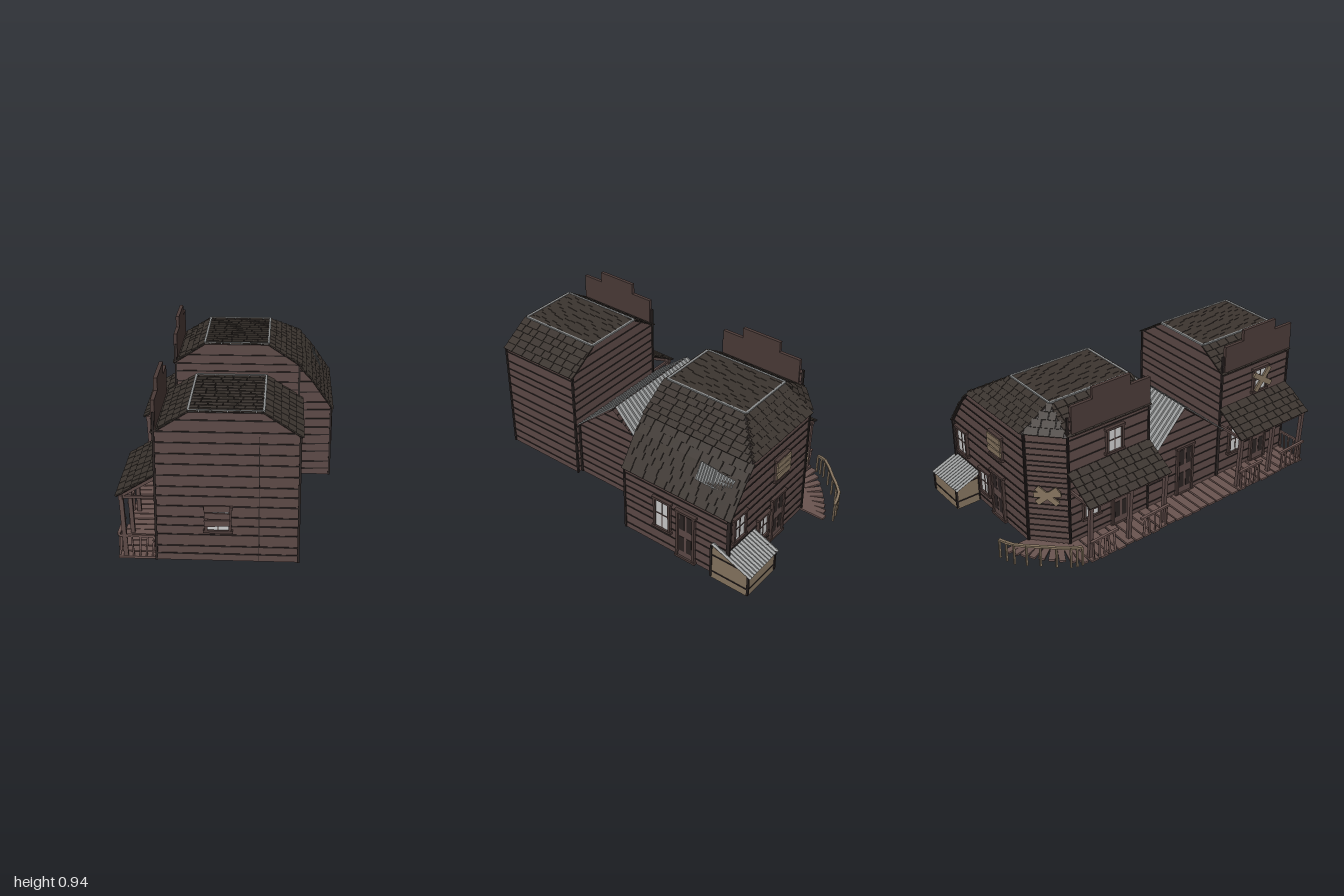
import * as THREE from 'three';
import { mergeGeometries } from 'three/addons/utils/BufferGeometryUtils.js';

const V = (x, y, z) => new THREE.Vector3(x, y, z);
const mat = (color) => new THREE.MeshStandardMaterial({ color, side: THREE.DoubleSide, flatShading: true });

let seed = 7;
const rnd = () => ((seed = (seed * 16807) % 2147483647) / 2147483647);

export function createModel() {
  const root = new THREE.Group();
  const wood = mat(0x5c4946), dark = mat(0x2a2322), roofMat = mat(0x3b342f), trimMat = mat(0x4a3a37);
  const metal = mat(0x8a8c8c), glass = mat(0xc4c6c2), pale = mat(0x85745f), deckMat = mat(0x6a5450);

  const add = (name, geo, m, parent = root) => {
    const mesh = new THREE.Mesh(geo, m);
    mesh.name = name;
    parent.add(mesh);
    return mesh;
  };
  const box = (w, h, d, x, y, z, roll = 0) => new THREE.BoxGeometry(w, h, d).rotateZ(roll).translate(x, y, z);

  // Timber running from p to q
  const beam = (p, q, w, h) => {
    const m = new THREE.Matrix4().lookAt(q, p, V(0, 1, 0));
    if (Math.abs(q.x - p.x) + Math.abs(q.z - p.z) < 1e-4) m.makeRotationX(Math.PI / 2);
    return new THREE.BoxGeometry(w, h, p.distanceTo(q)).applyMatrix4(m)
      .translate((p.x + q.x) / 2, (p.y + q.y) / 2, (p.z + q.z) / 2);
  };
  // Point on a four-cornered sheet: a-b is the lower edge, d-c the upper
  const at = ([a, b, c, d], s, t) => a.clone().lerp(b, s).lerp(d.clone().lerp(c, s), t);
  const normalOf = ([a, b, c, d]) => c.clone().sub(a).cross(d.clone().sub(b)).normalize();

  // Flat or corrugated sheet
  const sheet = (q, ribs = 1, depth = 0) => {
    const g = new THREE.PlaneGeometry(1, 1, ribs * 2, 1), p = g.attributes.position, n = normalOf(q);
    for (let i = 0; i < p.count; i++) {
      const v = at(q, p.getX(i) + 0.5, p.getY(i) + 0.5).addScaledVector(n, (i % (ribs * 2 + 1)) % 2 * depth);
      p.setXYZ(i, v.x, v.y, v.z);
    }
    g.computeVertexNormals();
    return g;
  };

  // Shingled roof slope: backing sheet and staggered, uneven shingles
  const shingles = (name, ...q) => {
    const g = new THREE.Group();
    g.name = name;
    root.add(g);
    add('roofSheet', sheet(q), dark, g);
    const n = normalOf(q), parts = [];
    const up = at(q, 0.5, 0).distanceTo(at(q, 0.5, 1)), rows = Math.max(2, Math.round(up / 0.042));
    for (let r = 0; r < rows; r++) {
      const t = (r + 0.5) / rows, a = at(q, 0, t), b = at(q, 1, t), L = a.distanceTo(b);
      const dir = b.clone().sub(a).normalize(), rise = n.clone().cross(dir).normalize();
      const m = new THREE.Matrix4().makeBasis(dir, rise, n);
      let s = -rnd() * 0.04;
      while (s < L) {
        const w = 0.045 + rnd() * 0.045, s0 = Math.max(0, s), s1 = Math.min(L, s + w - 0.004);
        if (s1 - s0 > 0.006) {
          const c = a.clone().addScaledVector(dir, (s0 + s1) / 2).addScaledVector(n, 0.006);
          parts.push(new THREE.BoxGeometry(s1 - s0, up / rows + 0.004, 0.006).rotateX(-0.09)
            .rotateZ((rnd() - 0.5) * 0.05).applyMatrix4(m).translate(c.x, c.y, c.z));
        }
        s += w;
      }
    }
    add('shingleRows', mergeGeometries(parts), roofMat, g);
  };

  // Boarded wall from plan point A to B (left to right seen from outside); outline is convex, in metres along/up
  const wall = (name, A, B, outline, { m = wood, step = 0.055, seam = 0, tilt = 0 } = {}) => {
    const g = new THREE.Group();
    g.name = name;
    g.position.set(A[0], 0, A[1]);
    g.rotation.y = Math.atan2(A[1] - B[1], B[0] - A[0]);
    root.add(g);
    add('wallFace', new THREE.ShapeGeometry(new THREE.Shape(outline.map((p) => new THREE.Vector2(...p)))), m, g);
    const lines = [], top = Math.max(...outline.map((p) => p[1]));
    for (let y = 0.05; y < top - 0.02; y += step * (0.8 + rnd() * 0.4)) {
      const xs = [];
      outline.forEach(([x0, y0], i) => {
        const [x1, y1] = outline[(i + 1) % outline.length];
        if ((y0 <= y) !== (y1 <= y)) xs.push(x0 + (x1 - x0) * (y - y0) / (y1 - y0));
      });
      if (xs.length < 2) continue;
      const a = Math.min(...xs), b = Math.max(...xs);
      lines.push(box(b - a, 0.007, 0.008, (a + b) / 2, y, 0, tilt));
    }
    if (seam) lines.push(box(0.004, 0.68, 0.007, seam, 0.355, 0));
    for (const [x, y] of outline) if (y < 0.1) {
      const h = Math.max(...outline.filter((p) => Math.abs(p[0] - x) < 0.01).map((p) => p[1]));
      lines.push(box(0.012, h - 0.012, 0.012, x, (h + 0.012) / 2, 0));
    }
    if (lines.length) add('boardGaps', mergeGeometries(lines), dark, g);
    return g;
  };
  const rect = (w, h) => [[0, 0.012], [w, 0.012], [w, h], [0, h]];

  const frame = (w, h, x, y, t = 0.014) => mergeGeometries([
    box(t, h, 0.022, x - w / 2, y, 0.008), box(t, h, 0.022, x + w / 2, y, 0.008),
    box(w + 0.03, t, 0.026, x, y + h / 2, 0.008), box(w + 0.03, t, 0.026, x, y - h / 2, 0.008)]);
  const windowOn = (g, x, y, w = 0.1, h = 0.18) => {
    add('windowGlass', box(w, h, 0.01, x, y, 0.004), glass, g);
    add('windowFrame', frame(w, h, x, y), trimMat, g);
    add('windowBars', mergeGeometries([box(0.006, h, 0.012, x, y, 0.006), box(w, 0.006, 0.012, x, y, 0.006)]), trimMat, g);
  };
  const doorOn = (g, x, w = 0.11, h = 0.32) => {
    const y = 0.02 + h / 2;
    add('door', box(w, h, 0.01, x, y, 0.005), wood, g);
    add('doorFrame', frame(w, h, x, y), trimMat, g);
    add('doorPanels', mergeGeometries([-1, 1].flatMap((s) => [0.28, -0.2].map((f) =>
      box(w * 0.3, h * 0.32, 0.014, x + s * w * 0.22, y + f * h, 0.005)))), dark, g);
  };
  const boards = (g, x, y, w, rolls, m = pale) => add('nailedBoards', mergeGeometries(rolls.map(([dy, roll]) =>
    box(w, 0.032, 0.01, x, y + dy, 0.022, roll))), m, g);

  // Front house walls
  const f = wall('frontHouseFrontWall', [-0.37, 0.98], [0.35, 0.98],
    [[0, 0.012], [0.72, 0.012], [0.72, 0.70], [0.54, 0.82], [0.17, 0.82], [0, 0.71]], { seam: 0.52 });
  windowOn(f, 0.315, 0.25, 0.12, 0.13);
  boards(f, 0.31, 0.26, 0.13, [[0.055, 0.02], [0.015, -0.02], [-0.025, 0.04]], wood);
  wall('frontHouseRightWall', [0.35, 0.98], [0.35, 0.45], rect(0.53, 0.70));
  wall('frontHouseRearWall', [0.35, 0.45], [-0.37, 0.45],
    [[0, 0.012], [0.72, 0.012], [0.72, 0.71], [0.55, 0.82], [0.18, 0.82], [0, 0.70]]);
  const fw = wall('frontHousePorchWall', [-0.37, 0.45], [-0.37, 0.98], rect(0.53, 0.82));
  windowOn(fw, 0.3, 0.585, 0.1, 0.15);
  boards(fw, 0.31, 0.585, 0.17, [[0, 0.9], [0, -0.6]]);
  windowOn(fw, 0.13, 0.24);
  doorOn(fw, 0.32);

  // Middle house walls and corrugated gable roof
  const gable = [[0, 0.012], [0.53, 0.012], [0.53, 0.36], [0.265, 0.58], [0, 0.36]];
  wall('middleHouseRightWall', [0.32, 0.44], [0.32, -0.09], gable);
  doorOn(wall('middleHousePorchWall', [-0.37, -0.09], [-0.37, 0.44], gable), 0.27);
  add('middleRoofFront', sheet([V(-0.41, 0.355, 0.45), V(0.335, 0.355, 0.45), V(0.3, 0.59, 0.175), V(-0.37, 0.59, 0.175)], 22, 0.006), metal);
  add('middleRoofRear', sheet([V(0.335, 0.355, -0.1), V(-0.41, 0.355, -0.1), V(-0.37, 0.59, 0.175), V(0.3, 0.59, 0.175)], 22, 0.006), metal);

  // Rear house walls, with a cut corner and a lean-to
  wall('rearHouseFrontWall', [-0.37, -0.09], [0.35, -0.09],
    [[0, 0.012], [0.72, 0.012], [0.72, 0.70], [0.54, 0.82], [0.17, 0.82], [0, 0.71]]);
  wall('leanToFrontWall', [0.35, -0.09], [0.54, -0.09],
    [[0, 0.012], [0.19, 0.012], [0.19, 0.44], [0.07, 0.615], [0, 0.69]], { tilt: 0.03 });
  const e = wall('leanToRightWall', [0.54, -0.09], [0.54, -0.8], rect(0.71, 0.44));
  windowOn(e, 0.27, 0.25, 0.1, 0.2);
  doorOn(e, 0.43);
  const b = wall('rearHouseBackWall', [0.54, -0.79], [-0.2, -0.79],
    [[0, 0.012], [0.74, 0.012], [0.74, 0.71], [0.19, 0.70], [0.12, 0.615], [0, 0.44]]);
  windowOn(b, 0.09, 0.34, 0.1, 0.16);
  windowOn(b, 0.32, 0.18, 0.09, 0.15);
  doorOn(b, 0.46, 0.11, 0.29);
  windowOn(b, 0.47, 0.5, 0.1, 0.14);
  boards(b, 0.47, 0.5, 0.13, [[0.05, 0.03], [0.012, -0.04], [-0.03, 0.02]]);
  const c = wall('cutCornerWall', [-0.2, -0.79], [-0.37, -0.63], rect(0.233, 0.71), { step: 0.035 });
  boards(c, 0.12, 0.34, 0.15, [[0, 0.7], [0, -0.7], [0.01, 0.1]]);
  const rw = wall('rearHousePorchWall', [-0.37, -0.63], [-0.37, -0.09], rect(0.54, 0.82));
  windowOn(rw, 0.3, 0.585, 0.1, 0.15);
  windowOn(rw, 0.14, 0.24);
  doorOn(rw, 0.34);

  // Main roofs
  const L = -0.2, R = 0.17, T = 0.82;
  shingles('frontRoofTop', V(L, T, 0.98), V(R, T, 0.98), V(R, T, 0.45), V(L, T, 0.45));
  shingles('frontRoofRight', V(0.36, 0.695, 0.985), V(0.36, 0.695, 0.44), V(R, T, 0.44), V(R, T, 0.985));
  shingles('frontRoofLeft', V(-0.38, 0.705, 0.44), V(-0.38, 0.705, 0.985), V(L, T, 0.985), V(L, T, 0.44));
  shingles('rearRoofTop', V(L, T, -0.09), V(R, T, -0.09), V(R, T, -0.62), V(L, T, -0.62));
  shingles('rearRoofRight', V(0.36, 0.695, -0.08), V(0.36, 0.695, -0.8), V(R, T, -0.62), V(R, T, -0.08));
  shingles('rearRoofLeft', V(-0.38, 0.705, -0.64), V(-0.38, 0.705, -0.08), V(L, T, -0.08), V(L, T, -0.62));
  shingles('rearRoofBack', V(0.36, 0.695, -0.8), V(-0.2, 0.705, -0.805), V(L, T, -0.62), V(R, T, -0.62));
  shingles('rearRoofCorner', V(-0.2, 0.705, -0.805), V(-0.385, 0.705, -0.635), V(L, T, -0.62), V(L, T, -0.62));
  shingles('leanToRoofUpper', V(0.42, 0.615, -0.08), V(0.42, 0.615, -0.81), V(0.35, 0.69, -0.81), V(0.35, 0.69, -0.08));
  shingles('leanToRoofLower', V(0.545, 0.435, -0.08), V(0.545, 0.435, -0.81), V(0.42, 0.615, -0.81), V(0.42, 0.615, -0.08));
  for (const [z0, z1] of [[0.45, 0.97], [-0.62, -0.1]]) {
    const k = [V(L, 0.827, z0), V(R, 0.827, z0), V(R, 0.827, z1), V(L, 0.827, z1)];
    add('roofEdgeTrim', mergeGeometries(k.map((p, i) => beam(p, k[(i + 1) % 4], 0.012, 0.01))), metal);
  }
  add('roofPatches', mergeGeometries([[-0.53, -0.64, 0.545], [-0.63, -0.75, 0.53]].map(([z0, z1, y]) =>
    sheet([V(0.485, y, z0), V(0.48, y - 0.01, z1), V(0.435, y + 0.08, z1), V(0.435, y + 0.09, z0)], 7, 0.005))), metal);

  // Stepped false fronts, porches and railings of both houses
  for (const [z0, z1] of [[0.45, 0.98], [-0.63, -0.09]]) {
    const near = z1 > 0.5, s0 = near ? 0.46 : -0.61, mid = (s0 + z1) / 2;
    add('falseFront', mergeGeometries([
      box(0.02, 0.18, z1 - s0, -0.37, 0.79, mid), box(0.02, 0.065, 0.25, -0.37, 0.9125, mid)]), trimMat);
    shingles('porchRoof', V(-0.565, 0.36, z0 - 0.01), V(-0.565, 0.36, z1 + 0.005), V(-0.37, 0.48, z1 + 0.005), V(-0.37, 0.48, z0 - 0.01));
    const timber = [beam(V(-0.545, 0.355, z0), V(-0.545, 0.355, z1), 0.02, 0.022)], rails = [];
    const posts = [z0 + 0.015, mid, z1 - 0.015];
    posts.forEach((z) => {
      timber.push(beam(V(-0.527, 0.015, z), V(-0.543, 0.355, z), 0.022, 0.022));
      timber.push(beam(V(-0.545, 0.355, z), V(-0.37, 0.355, z), 0.014, 0.014));
      timber.push(beam(V(-0.545, 0.362, z), V(-0.37, 0.465, z), 0.016, 0.018));
    });
    for (const [a, d] of [[z0, z0 + 0.18], [z1 - 0.2, z1]]) {
      rails.push(beam(V(-0.56, 0.14, a), V(-0.56, 0.15, d), 0.016, 0.012));
      for (let i = 0; i < 5; i++) {
        const z = a + (d - a) * (i + 0.5) / 5;
        rails.push(beam(V(-0.56, 0.02, z), V(-0.56 + (rnd() - 0.5) * 0.012, 0.14, z + (rnd() - 0.5) * 0.02), 0.009, 0.012));
      }
    }
    if (near) {
      rails.push(beam(V(-0.56, 0.14, 0.97), V(-0.38, 0.137, 0.97), 0.012, 0.012));
      for (let i = 0; i < 5; i++) rails.push(beam(V(-0.52 + i * 0.032, 0.02, 0.97),
        V(-0.52 + i * 0.032 + (rnd() - 0.5) * 0.02, 0.137, 0.97), 0.009, 0.009));
    }
    add('porchTimbers', mergeGeometries(timber), wood);
    add('porchRailing', mergeGeometries(rails), deckMat);
  }

  // Boardwalk and the fan of planks round the cut corner
  const planks = [];
  for (let z = -0.605; z < 0.98; z += 0.06)
    planks.push(box(0.2, 0.012, 0.05, -0.467 + (rnd() - 0.5) * 0.01, 0.016, z).translate(0, rnd() * 0.004, 0));
  for (let i = 0; i < 9; i++) {
    const t = i / 8;
    planks.push(beam(V(-0.37 + 0.16 * t, 0.016, -0.64 - 0.14 * t),
      V(-0.55 + 0.34 * t, 0.016, -0.66 - 0.28 * t - 0.03 * Math.sin(t * 3.1)), 0.036, 0.012));
  }
  add('boardwalk', mergeGeometries(planks), deckMat);

  // Curved railing behind the fan
  const curve = new THREE.CatmullRomCurve3([V(-0.55, 0.13, -0.68), V(-0.53, 0.14, -0.74), V(-0.42, 0.14, -0.86), V(-0.32, 0.14, -0.96), V(-0.225, 0.13, -0.99)]);
  const pts = curve.getPoints(8);
  add('curvedRail', mergeGeometries(pts.flatMap((p, i) => [
    beam(V(p.x, 0.01, p.z), p, 0.01, 0.01), ...(i ? [beam(pts[i - 1], p, 0.016, 0.012)] : [])])), pale);

  // Back shed with a corrugated roof
  const shedSide = [[0, 0], [0.24, 0], [0.24, 0.14], [0, 0.23]];
  wall('shedRightWall', [0.56, -0.7], [0.56, -0.94], shedSide, { m: pale, step: 0.11 });
  wall('shedLeftWall', [0.31, -0.94], [0.31, -0.79], [[0, 0], [0.15, 0], [0.15, 0.2], [0, 0.14]], { m: pale, step: 0.11 });
  wall('shedBackWall', [0.56, -0.94], [0.31, -0.94], [[0, 0], [0.25, 0], [0.25, 0.14], [0, 0.14]], { m: pale, step: 0.11 });
  add('shedRoof', sheet([V(0.565, 0.135, -0.955), V(0.285, 0.135, -0.95), V(0.285, 0.215, -0.76), V(0.565, 0.24, -0.7)], 12, 0.007), metal);

  return root;
}
